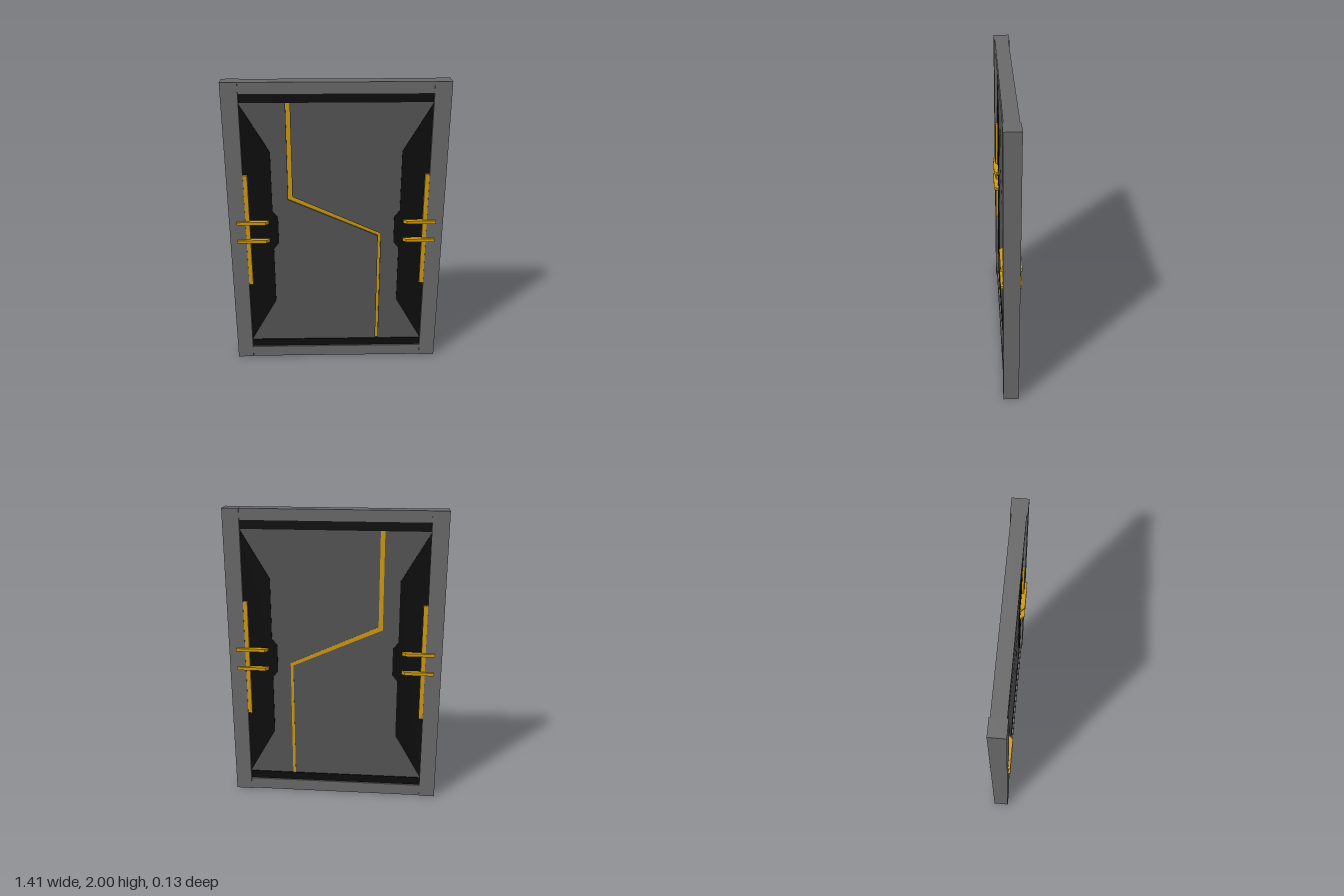
import * as THREE from 'three';

const mat = (color) => new THREE.MeshStandardMaterial({ color, flatShading: true });

export function createModel() {
  const door = new THREE.Group();
  door.name = 'slidingDoor';
  const frameMat = mat(0x6a6a6a), panelMat = mat(0x555555);
  const darkMat = mat(0x0d0d0d), goldMat = mat(0xd09a10);

  const add = (name, geometry, material) => {
    const mesh = new THREE.Mesh(geometry, material);
    mesh.name = name;
    door.add(mesh);
    return mesh;
  };
  // Box given by its limits in x and y and its half depth
  const slab = (name, x0, x1, y0, y1, halfDepth, material) =>
    add(name, new THREE.BoxGeometry(x1 - x0, y1 - y0, halfDepth * 2), material)
      .position.set((x0 + x1) / 2, (y0 + y1) / 2, 0);
  // Flat outline extruded between two depths
  const prism = (points, z0, z1) => {
    const shape = new THREE.Shape(points.map(([x, y]) => new THREE.Vector2(x, y)));
    return new THREE.ExtrudeGeometry(shape, { depth: z1 - z0, bevelEnabled: false }).translate(0, 0, z0);
  };

  // Frame
  slab('topRail', -0.6, 0.6, 1.925, 2, 0.0445, frameMat);
  slab('bottomRail', -0.6, 0.6, 0, 0.08, 0.0445, frameMat);
  slab('topSeal', -0.6, 0.6, 1.87, 1.925, 0.034, darkMat);
  slab('bottomSeal', -0.6, 0.6, 0.08, 0.135, 0.034, darkMat);

  // Two leaves either side of a stepped seam
  const seamLeft = [[-0.315, 1.87], [-0.315, 1.222], [0.28, 0.955], [0.28, 0.135]];
  const seamRight = [[-0.287, 1.87], [-0.287, 1.243], [0.298, 0.972], [0.298, 0.135]];
  add('rightLeaf', prism([[-0.6, 1.87], [-0.6, 0.135], ...[...seamLeft].reverse()], -0.028, 0.028), panelMat);
  add('leftLeaf', prism([[0.6, 0.135], [0.6, 1.87], ...seamRight], -0.028, 0.028), panelMat);
  add('seamStrip', prism([...seamLeft, ...[...seamRight].reverse()], -0.03, 0.016), goldMat);

  const plate = [[0.6, 1.86], [0.42, 1.55], [0.42, 1.14], [0.385, 1.095],
    [0.385, 0.91], [0.42, 0.865], [0.42, 0.46], [0.6, 0.14]];
  const clamp = [[0.445, -0.045], [0.466, -0.065], [0.658, -0.065],
    [0.658, 0.065], [0.466, 0.065], [0.445, 0.045]];

  for (const [side, s] of [['left', 1], ['right', -1]]) {
    const mirror = (points) => points.map(([x, y]) => [x * s, y]);
    const span = (a, b) => (s > 0 ? [a, b] : [-b, -a]);

    slab(side + 'Post', ...span(0.6, 0.707), 0, 2, 0.051, frameMat);
    add(side + 'SidePlate', prism(mirror(plate), -0.034, 0.034), darkMat);
    slab(side + 'LightStrip', ...span(0.572, 0.6), 0.6, 1.4, 0.048, goldMat);

    // Pair of chamfered clamps reaching over both faces of the post
    for (const y of [0.934, 1.067]) {
      const bar = prism(mirror(clamp), -0.0105, 0.0105).rotateX(Math.PI / 2);
      add(side + 'Clamp', bar, goldMat).position.y = y;
    }
  }
  return door;
}
